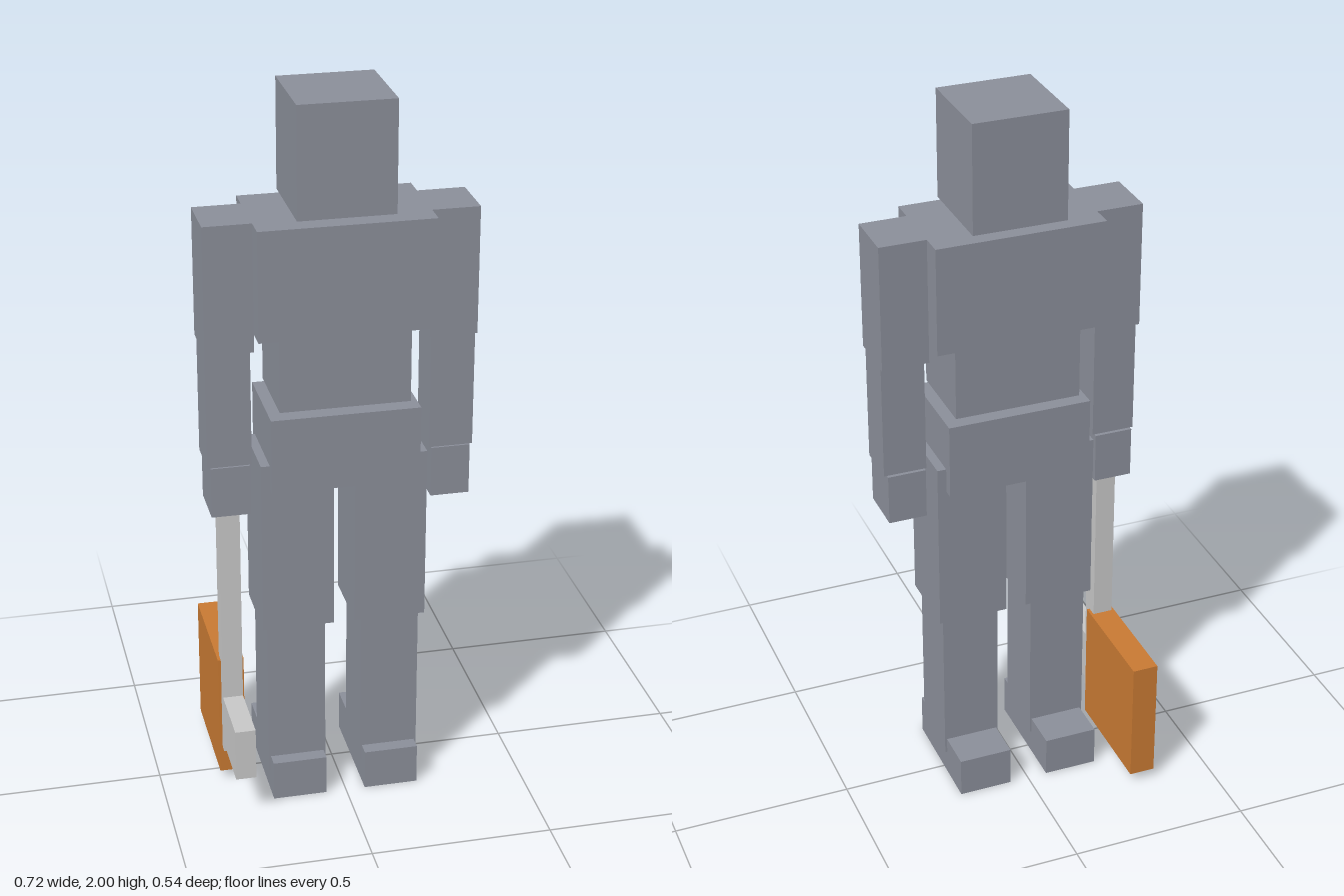
import * as THREE from 'three';

export function createModel() {
  const model = new THREE.Group();
  model.name = 'blockFigure';

  const makeMaterial = (name, color) => {
    const m = new THREE.MeshStandardMaterial({ color });
    m.name = name;
    return m;
  };
  const slate = makeMaterial('slateGrey', 0x8b8f9a);
  const orange = makeMaterial('orange', 0xc97a33);
  const paleGrey = makeMaterial('paleGrey', 0xc8c8c8);

  // Box given by its extents on each axis
  const block = (parent, name, material, [x0, x1], [y0, y1], [z0, z1]) => {
    const mesh = new THREE.Mesh(new THREE.BoxGeometry(x1 - x0, y1 - y0, z1 - z0), material);
    mesh.position.set((x0 + x1) / 2, (y0 + y1) / 2, (z0 + z1) / 2);
    mesh.name = name;
    parent.add(mesh);
  };

  // Head and torso
  const body = new THREE.Group();
  body.name = 'body';
  block(body, 'head', slate, [-0.13, 0.128], [1.7, 2], [-0.072, 0.186]);
  block(body, 'chest', slate, [-0.234, 0.232], [1.385, 1.685], [-0.083, 0.198]);
  block(body, 'waist', slate, [-0.176, 0.174], [1.175, 1.385], [-0.057, 0.172]);
  block(body, 'hips', slate, [-0.202, 0.199], [0.95, 1.16], [-0.072, 0.186]);
  model.add(body);

  // Limbs, mirrored about the body's centre line
  const limbParts = [
    ['UpperArm', 0.233, 0.362, [1.335, 1.685], [-0.02, 0.134]],
    ['Forearm', 0.241, 0.36, [1.01, 1.335], [-0.002, 0.12]],
    ['Hand', 0.246, 0.352, [0.868, 1.01], [-0.012, 0.126]],
    ['Thigh', 0.029, 0.225, [0.53, 1.02], [-0.044, 0.162]],
    ['Shin', 0.05, 0.211, [0.07, 0.53], [-0.028, 0.147]],
    ['Foot', 0.055, 0.205, [0, 0.115], [-0.141, 0.186]],
  ];
  for (const [side, s] of [['left', 1], ['right', -1]]) {
    const limbs = new THREE.Group();
    limbs.name = side + 'Limbs';
    for (const [part, inner, outer, y, z] of limbParts) {
      const x = s > 0 ? [inner, outer] : [-outer, -inner];
      block(limbs, side + part, slate, x.map((v) => v - 0.001), y, z);
    }
    model.add(limbs);
  }

  // Long-handled tool hanging from the right hand
  const tool = new THREE.Group();
  tool.name = 'tool';
  block(tool, 'toolHandle', paleGrey, [-0.327, -0.271], [0.11, 0.87], [0.03, 0.086]);
  block(tool, 'toolPoll', paleGrey, [-0.327, -0.271], [0.135, 0.285], [0.08, 0.27]);
  block(tool, 'toolBlade', orange, [-0.335, -0.263], [0.03, 0.39], [-0.27, 0.06]);
  model.add(tool);

  return model;
}
